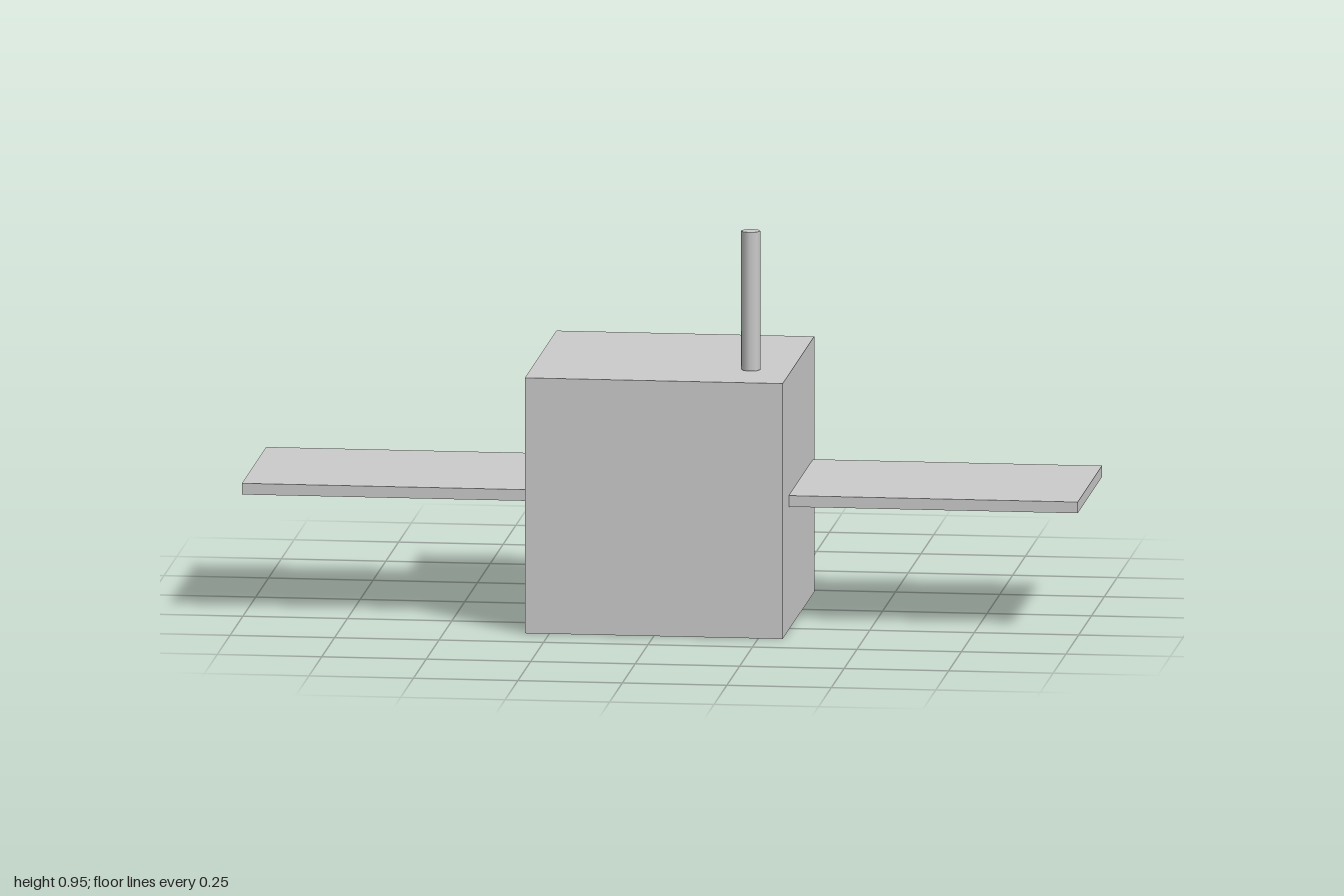
import * as THREE from 'three';

export function createModel() {
  const group = new THREE.Group();
  const material = new THREE.MeshStandardMaterial({ color: 0xcccccc });

  const add = (name, geometry, x, y, z) => {
    const mesh = new THREE.Mesh(geometry, material);
    mesh.name = name;
    mesh.position.set(x, y, z);
    group.add(mesh);
    return mesh;
  };

  // Cubic body
  const size = 0.617;
  add('body', new THREE.BoxGeometry(size, size, size), 0, size / 2, 0.079);

  // Flat panels, one on each side
  const span = 1 - size / 2;
  for (const [name, side] of [['leftPanel', 1], ['rightPanel', -1]]) {
    add(name, new THREE.BoxGeometry(span, 0.027, 0.475), side * (1 - span / 2), 0.311, 0.031);
  }

  // Tapered eight-sided nozzle pointing backwards
  const nozzle = add('nozzle', new THREE.CylinderGeometry(0.132, 0.168, 0.157, 8), 0, 0.311, -0.3085);
  nozzle.rotation.x = -Math.PI / 2;

  // Antenna rod on the roof
  add('antenna', new THREE.CylinderGeometry(0.023, 0.023, 0.335, 8), 0.212, 0.786, 0.222);

  return group;
}
